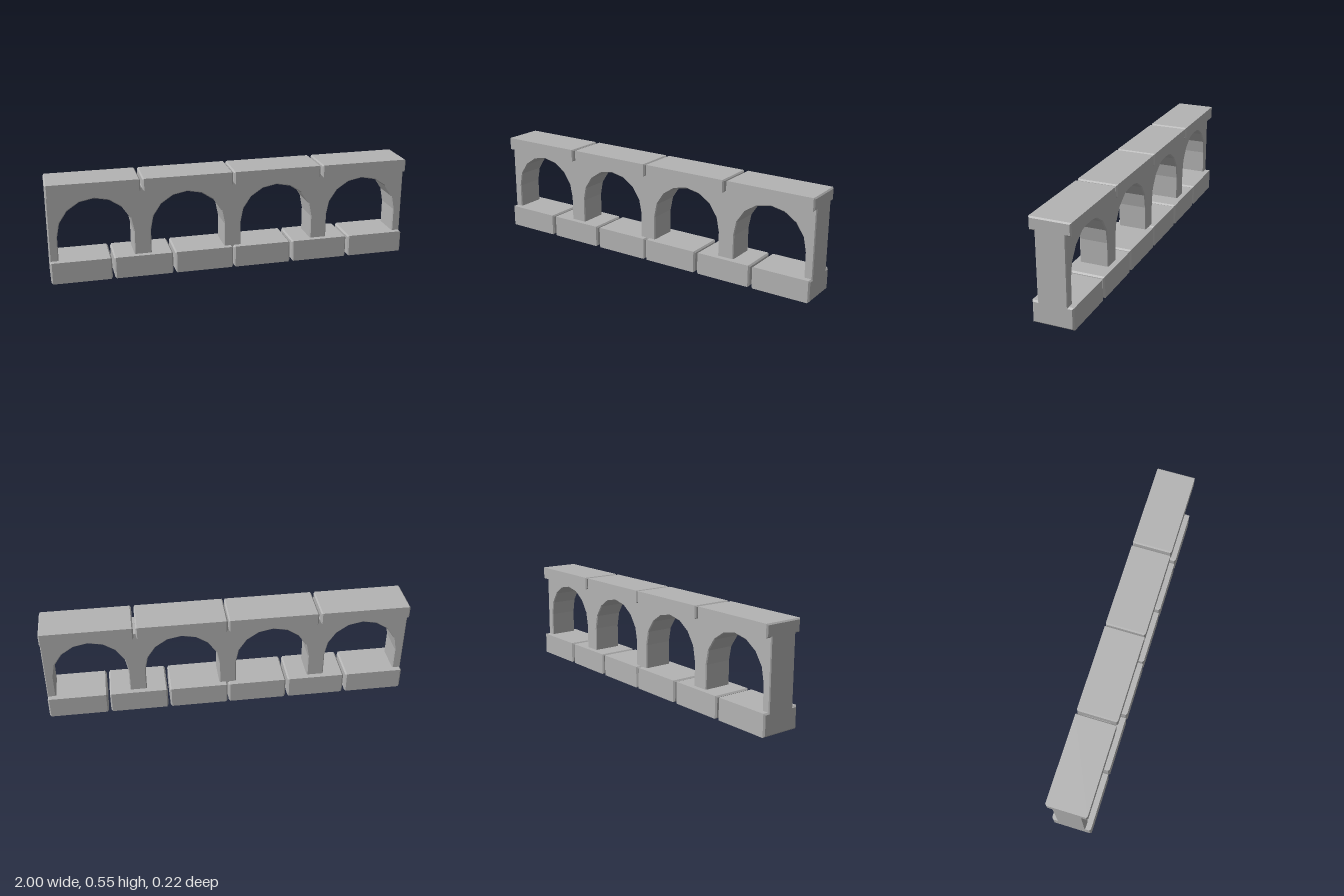
import * as THREE from 'three';

const stone = new THREE.MeshStandardMaterial({ color: 0xb4b4b4 });
stone.name = 'grey stone';

// Extrude an outline along z, centred, with chamfers kept inside its size
function chamfered(shape, depth, bevel) {
  const geometry = new THREE.ExtrudeGeometry(shape, {
    depth: depth - 2 * bevel,
    bevelEnabled: true,
    bevelSegments: 1,
    bevelSize: bevel,
    bevelThickness: bevel,
    bevelOffset: -bevel,
    curveSegments: 8,
  });
  return geometry.translate(0, 0, bevel - depth / 2);
}

// One chamfered block between two x and two y positions.
// The outline is drawn in the zy plane's place and extruded along x.
function block(name, x0, x1, y0, y1, depth, bevel) {
  const h = depth / 2;
  const outline = new THREE.Shape([
    new THREE.Vector2(-h, y0), new THREE.Vector2(h, y0),
    new THREE.Vector2(h, y1), new THREE.Vector2(-h, y1),
  ]);
  const geometry = chamfered(outline, x1 - x0, bevel);
  geometry.rotateY(Math.PI / 2).translate((x0 + x1) / 2, 0, 0);
  const mesh = new THREE.Mesh(geometry, stone);
  mesh.name = name;
  return mesh;
}

// A row of blocks with narrow joints; the middle joint is tighter
function blockRow(name, count, y0, y1, bevel) {
  const row = new THREE.Group();
  row.name = name + 'Row';
  const step = 2 / count;
  const edge = (i, side) => {
    if (i === 0 || i === count) return -1 + i * step;
    return -1 + i * step + side * (i === count / 2 ? 0.003 : 0.0065);
  };
  for (let i = 0; i < count; i++) {
    row.add(block(name + (i + 1), edge(i, 1), edge(i + 1, -1), y0, y1, 0.22, bevel));
  }
  return row;
}

// Wall on piers, with four arches open at the bottom
function arcadeWall() {
  const bottom = 0.108, top = 0.5, spring = 0.252, radius = 0.203;
  const s = new THREE.Shape();
  s.moveTo(1, bottom);
  s.lineTo(1, top);
  s.lineTo(-1, top);
  s.lineTo(-1, bottom);
  for (const cx of [-0.75, -0.25, 0.25, 0.75]) {
    s.lineTo(cx - radius, bottom);
    for (let i = 0; i <= 8; i++) {
      const a = Math.PI * (1 - i / 8);
      s.lineTo(cx + radius * Math.cos(a), spring + radius * Math.sin(a));
    }
    s.lineTo(cx + radius, bottom);
  }
  s.closePath();
  const mesh = new THREE.Mesh(chamfered(s, 0.16, 0.005), stone);
  mesh.name = 'arcadeWall';
  return mesh;
}

export function createModel() {
  const model = new THREE.Group();
  model.name = 'stoneBalustrade';
  model.add(
    blockRow('baseBlock', 6, 0, 0.12, 0.008),
    arcadeWall(),
    blockRow('copingBlock', 4, 0.483, 0.552, 0.007),
  );
  return model;
}
